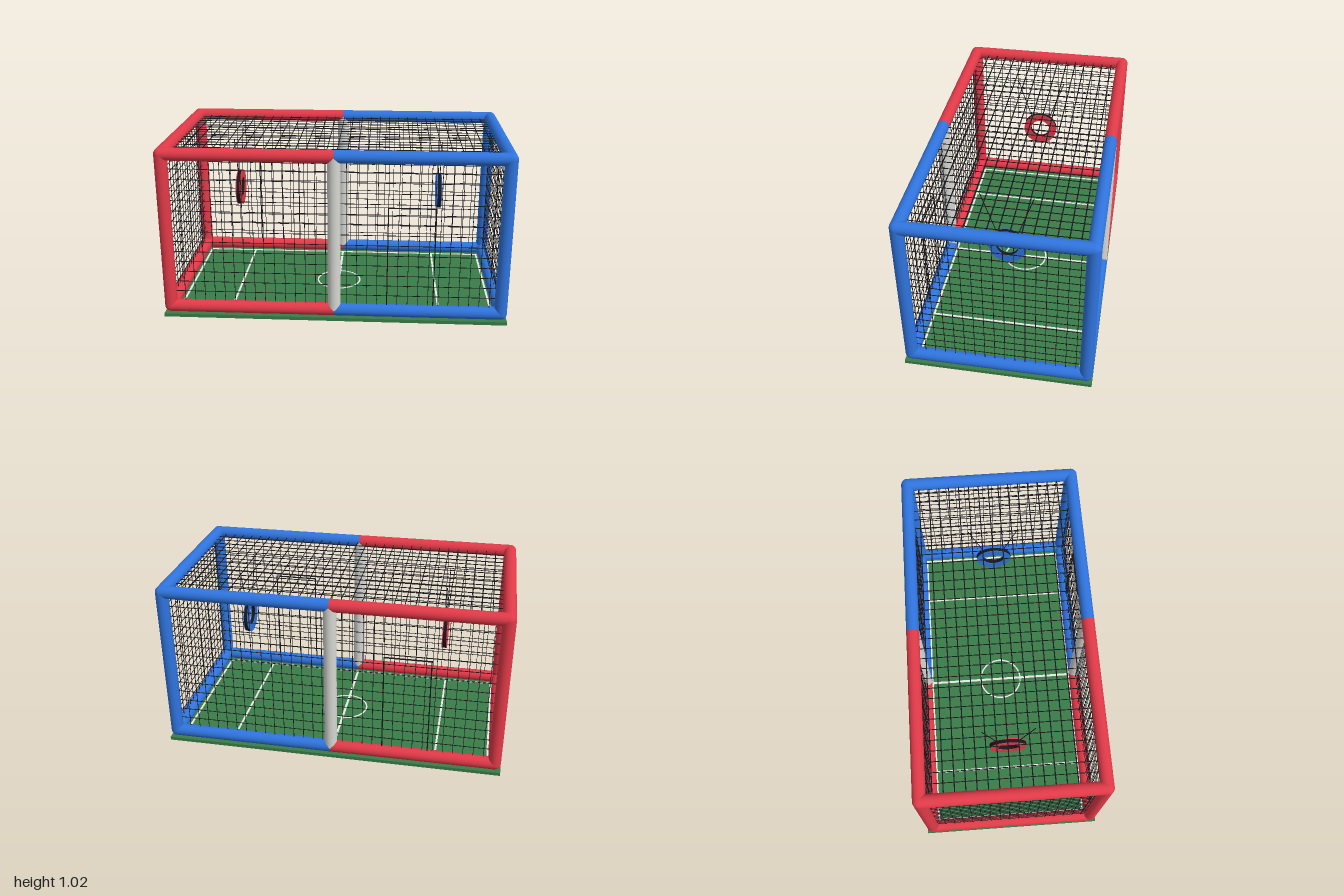
import * as THREE from 'three';
import { mergeGeometries } from 'three/addons/utils/BufferGeometryUtils.js';

const mat = (name, color) => new THREE.MeshStandardMaterial({ name, color });

// Frame dimensions: tube radius and tube centre lines
const R = 0.037, X = 0.963, Z = 0.5, LOW = 0.06, HIGH = 0.983;

const V = (x, y, z) => new THREE.Vector3(x, y, z);

// Straight cylinder between two points
function rod(a, b, radius, sides = 24) {
  const dir = b.clone().sub(a);
  const g = new THREE.CylinderGeometry(radius, radius, dir.length(), sides);
  g.applyQuaternion(new THREE.Quaternion().setFromUnitVectors(V(0, 1, 0), dir.normalize()));
  return g.translate((a.x + b.x) / 2, (a.y + b.y) / 2, (a.z + b.z) / 2);
}

function box(w, h, d, x, y, z) {
  return new THREE.BoxGeometry(w, h, d).translate(x, y, z);
}

// Flat net in the xy plane, centred on the origin
function net(w, h, stepX, stepY, thickX = 0.003, thickY = 0.003) {
  const strands = [];
  for (let x = -w / 2 + stepX / 2; x < w / 2; x += stepX) strands.push(box(thickX, h, 0.003, x, 0, 0));
  for (let y = -h / 2 + stepY / 2; y < h / 2; y += stepY) strands.push(box(w, thickY, 0.003, 0, y, 0));
  return mergeGeometries(strands);
}

// Flat washer facing x, centred on the origin
function washer(outer, inner, depth) {
  const s = new THREE.Shape().absarc(0, 0, outer, 0, Math.PI * 2, false);
  s.holes.push(new THREE.Path().absarc(0, 0, inner, 0, Math.PI * 2, true));
  return new THREE.ExtrudeGeometry(s, { depth, bevelEnabled: false, curveSegments: 32 })
    .translate(0, 0, -depth / 2).rotateY(Math.PI / 2);
}

export function createModel() {
  const red = mat('red padding', 0xe23a48);
  const blue = mat('blue padding', 0x2f74de);
  const grey = mat('grey padding', 0xd6d6d2);
  const green = mat('green turf', 0x3a7d48);
  const white = mat('white line', 0xf4f4f0);
  const dark = mat('dark netting', 0x17171c);

  const model = new THREE.Group();
  model.name = 'ballCage';
  const add = (parent, name, geometry, material) => {
    const m = new THREE.Mesh(geometry, material);
    m.name = name;
    parent.add(m);
    return m;
  };

  // One half of the court on the +x side; the other half is turned around
  function half(name, padding) {
    const g = new THREE.Group();
    g.name = name;

    // Padded tubes with rounded corners
    const tubes = [];
    for (const y of [LOW, HIGH]) {
      tubes.push(rod(V(X, y, -Z), V(X, y, Z), R));
      for (const z of [-Z, Z]) {
        tubes.push(rod(V(0, y, z), V(X, y, z), R));
        tubes.push(new THREE.SphereGeometry(R, 24, 16).translate(X, y, z));
      }
    }
    for (const z of [-Z, Z]) tubes.push(rod(V(X, LOW, z), V(X, HIGH, z), R));
    add(g, 'paddedFrame', mergeGeometries(tubes), padding);
    add(g, 'middlePost', rod(V(0, LOW, Z), V(0, HIGH, Z), R), grey);

    // Hoop: dark core with coloured faces, hung on two ropes
    const hoop = new THREE.Group();
    hoop.name = 'hoop';
    hoop.position.set(0.613, 0.638, 0);
    add(hoop, 'hoopCore', washer(0.107, 0.062, 0.02), dark);
    for (const s of [-1, 1]) {
      add(hoop, 'hoopFace', washer(0.107, 0.062, 0.005), padding).position.x = s * 0.0125;
      add(hoop, 'hoopRope', rod(V(0, 0.088, s * 0.06), V(0, 0.342, s * 0.147), 0.0025, 6), dark);
    }
    g.add(hoop);

    // Side and end nets
    const height = HIGH - LOW, midY = (HIGH + LOW) / 2;
    add(g, 'sideNet', net(2 * X, height, 0.059, 0.062), dark).position.set(0, midY, Z);
    const end = add(g, 'endNet', net(2 * Z, height, 0.057, 0.05), dark);
    end.rotation.y = Math.PI / 2;
    end.position.set(X, midY, 0);

    // Doorway outline in the side net
    const top = 0.69, x0 = 0.305, x1 = 0.572, t = 0.006;
    add(g, 'doorOutline', mergeGeometries([
      box(t, top - LOW, t, x0, (top + LOW) / 2, Z),
      box(t, top - LOW, t, x1, (top + LOW) / 2, Z),
      box(x1 - x0 + t, t, t, (x0 + x1) / 2, top, Z),
    ]), dark);

    // Floor markings
    add(g, 'hoopLine', box(0.012, 0.003, 0.92, 0.613, 0.0215, 0), white);
    add(g, 'endLine', box(0.012, 0.003, 0.93, 0.922, 0.0215, 0), white);
    add(g, 'sideLine', box(1.84, 0.003, 0.012, 0, 0.0215, 0.462), white);
    model.add(g);
    return g;
  }

  half('blueHalf', blue);
  half('redHalf', red).rotation.y = Math.PI;

  // Roof net
  const roof = add(model, 'roofNet', net(2 * X, 2 * Z, 0.059, 0.06, 0.004, 0.006), dark);
  roof.rotation.x = -Math.PI / 2;
  roof.position.y = HIGH;

  // Turf with centre line and circle
  add(model, 'turf', box(2, 0.02, 1.074, 0, 0.01, 0), green);
  add(model, 'centreLine', box(0.014, 0.003, 0.92, 0, 0.0215, 0), white);
  add(model, 'centreCircle', washer(0.138, 0.129, 0.003).rotateZ(Math.PI / 2), white).position.y = 0.0215;

  return model;
}
